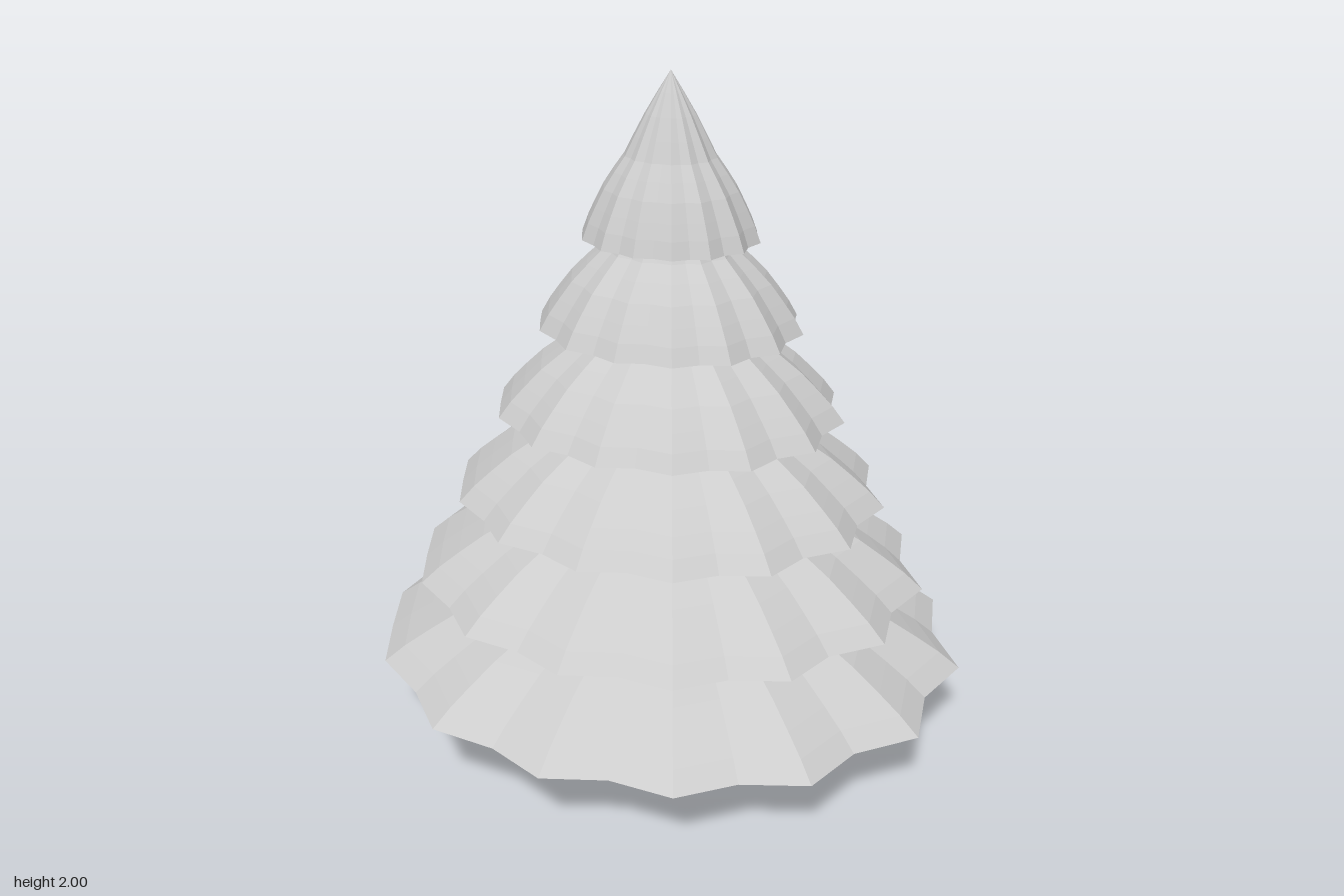
import * as THREE from 'three';

const SIDES = 28;
// Uneven scalloped rim: radius per direction, going from +x towards +z
const RIM = [
  0.896, 0.825, 0.886, 0.805, 0.855, 0.787, 0.827, 0.775, 0.832, 0.796, 0.861, 0.83, 0.887, 0.875,
  0.9, 0.875, 0.882, 0.847, 0.847, 0.82, 0.808, 0.8, 0.842, 0.774, 0.862, 0.8, 0.886, 0.826,
];
// Tier profile: [share of the rim radius, height above the rim]
const PROFILE = [[1, 0], [0.93, 0.047], [0.85, 0.09], [0.75, 0.14], [0.63, 0.187], [0.51, 0.23], [0.4, 0.285], [0.28, 0.343], [0.14, 0.403], [0, 0.46]];

// One closed branch tier, slightly tilted
function tierGeometry(scale, baseY) {
  const point = ([share, up], i) => {
    const a = (i % SIDES) / SIDES * Math.PI * 2;
    const r = RIM[i % SIDES] * scale * share;
    const x = Math.cos(a) * r, z = Math.sin(a) * r;
    return [x, baseY + up - 0.016 * x + 0.012 * z, z];
  };
  const pos = [];
  for (let i = 0; i < SIDES; i++) {
    for (let k = 0; k < PROFILE.length - 1; k++) {
      const a = point(PROFILE[k], i), b = point(PROFILE[k], i + 1);
      const c = point(PROFILE[k + 1], i + 1), d = point(PROFILE[k + 1], i);
      pos.push(...a, ...d, ...b);
      if (k < PROFILE.length - 2) pos.push(...b, ...d, ...c);
    }
    // flat underside
    pos.push(0, baseY, 0, ...point(PROFILE[0], i), ...point(PROFILE[0], i + 1));
  }
  const g = new THREE.BufferGeometry();
  g.setAttribute('position', new THREE.Float32BufferAttribute(pos, 3));
  g.computeVertexNormals();
  return g;
}

export function createModel() {
  const tree = new THREE.Group();
  tree.name = 'firTree';
  const grey = new THREE.MeshStandardMaterial({ color: 0xcccccc });
  grey.name = 'light grey';

  // Six tiers, shrinking evenly towards the top
  for (let t = 0; t < 6; t++) {
    const tier = new THREE.Mesh(tierGeometry((0.893 - t * 0.128) / 0.893, 0.25 + t * 0.258), grey);
    tier.name = 'branchTier' + (t + 1);
    tree.add(tier);
  }

  // Tapered faceted trunk
  const trunkGeometry = new THREE.CylinderGeometry(0.095, 0.106, 0.32, 10).toNonIndexed();
  trunkGeometry.computeVertexNormals();
  const trunk = new THREE.Mesh(trunkGeometry, grey);
  trunk.name = 'trunk';
  trunk.position.set(-0.013, 0.16, 0.005);
  tree.add(trunk);
  return tree;
}
